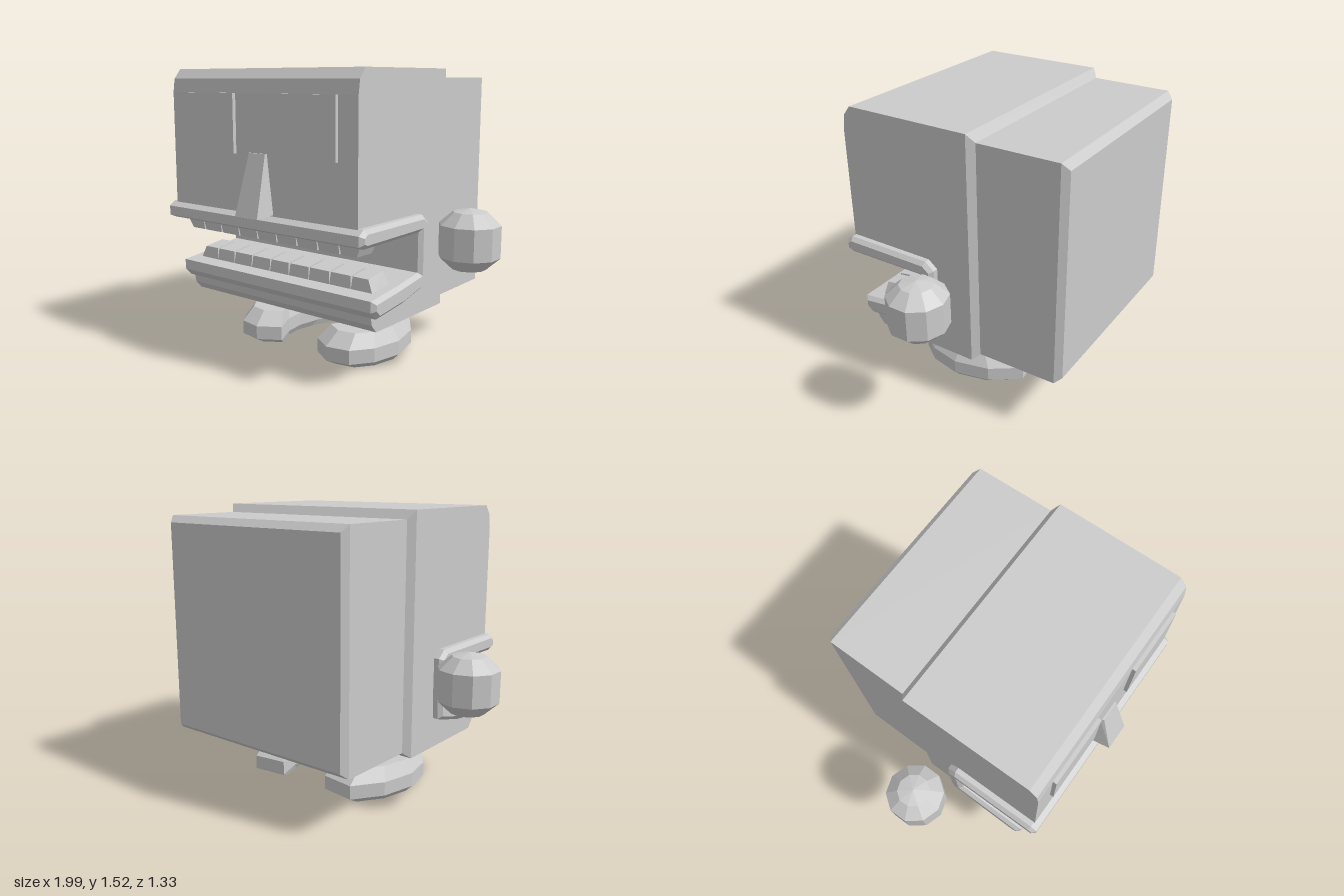
import * as THREE from 'three';

const material = new THREE.MeshStandardMaterial({ color: 0xcccccc, flatShading: true });

function add(parent, name, geometry) {
  const mesh = new THREE.Mesh(geometry, material);
  mesh.name = name;
  parent.add(mesh);
  return mesh;
}

// Closed skin over rings of [x, y, z] points, capped at both ends and turned outwards
function loft(rings) {
  const n = rings[0].length;
  const tris = [];
  const middle = ring => [0, 1, 2].map(k => ring.reduce((s, p) => s + p[k], 0) / n);
  const first = rings[0], last = rings[rings.length - 1];
  const c0 = middle(first), c1 = middle(last);
  for (let i = 0; i < n; i++) {
    const j = (i + 1) % n;
    for (let r = 0; r < rings.length - 1; r++) {
      const a = rings[r], b = rings[r + 1];
      tris.push([a[i], a[j], b[j]], [a[i], b[j], b[i]]);
    }
    tris.push([c0, first[j], first[i]], [c1, last[i], last[j]]);
  }
  let volume = 0;
  for (const [a, b, c] of tris) {
    const [u, v, w] = [a, b, c].map(p => new THREE.Vector3(...p).sub(new THREE.Vector3(...c0)));
    volume += u.dot(v.cross(w));
  }
  if (volume < 0) tris.forEach(t => t.reverse());
  const geometry = new THREE.BufferGeometry();
  geometry.setAttribute('position', new THREE.Float32BufferAttribute(tris.flat(2), 3));
  geometry.computeVertexNormals();
  return geometry;
}

// Rectangles lying in a vertical or a horizontal plane
const uprightRect = (z, hx, y0, y1) => [[-hx, y0, z], [hx, y0, z], [hx, y1, z], [-hx, y1, z]];
const flatRect = (x0, x1, z0, y0, z1, y1) => [[x0, y0, z0], [x1, y0, z0], [x1, y1, z1], [x0, y1, z1]];

// Side profile of [z, y] points extruded across the width
function acrossWidth(profile, halfWidth, bevel = 0) {
  const shape = new THREE.Shape(profile.map(p => new THREE.Vector2(...p)));
  const geometry = new THREE.ExtrudeGeometry(shape, {
    depth: 2 * (halfWidth - bevel), bevelEnabled: bevel > 0, bevelSegments: 1,
    bevelThickness: bevel, bevelSize: bevel, bevelOffset: -bevel,
  });
  return geometry.translate(0, 0, bevel - halfWidth).rotateY(-Math.PI / 2);
}

function teeth(name, base, tip) {
  const row = new THREE.Group();
  row.name = name;
  const count = 9, width = 1.2 / count;
  for (let i = 0; i < count; i++) {
    const x0 = -0.6 + i * width, x1 = x0 + width;
    const in0 = i === 0 ? 0.035 : 0.006, in1 = i === count - 1 ? 0.035 : 0.006;
    add(row, 'tooth', loft([flatRect(x0, x1, ...base), flatRect(x0 + in0, x1 - in1, ...tip)]));
  }
  return row;
}

export function createModel() {
  const model = new THREE.Group();
  model.name = 'blockHeadFigure';

  // Head with the mouth cut right through from side to side
  add(model, 'head', acrossWidth([
    [-0.165, 0.29], [0.42, 0.29], [0.455, 0.33], [0.47, 0.4], [0.45, 0.45], [0.08, 0.5],
    [0.08, 0.75], [0.57, 0.75], [0.57, 1.4], [0.56, 1.47], [0.52, 1.52], [-0.165, 1.52],
  ], 0.617));

  // Narrower block behind the head, with chamfered ends
  add(model, 'backBlock', loft([
    uprightRect(-0.165, 0.617, 0.29, 1.52), uprightRect(-0.198, 0.585, 0.32, 1.475),
    uprightRect(-0.625, 0.58, 0.32, 1.475), uprightRect(-0.66, 0.557, 0.35, 1.44),
  ]));

  // Lip wrapping the mouth
  add(model, 'lips', acrossWidth([
    [0.565, 0.81], [0.6, 0.785], [0.6, 0.735], [0.565, 0.72], [0.11, 0.725], [0.11, 0.52],
    [0.3, 0.49], [0.505, 0.465], [0.505, 0.41], [0.465, 0.37], [0.25, 0.395], [0.08, 0.435],
    [0.035, 0.45], [0.03, 0.55], [0.03, 0.77], [0.08, 0.81],
  ], 0.665, 0.02));

  model.add(teeth('upperTeeth', [0.52, 0.735, 0.38, 0.735], [0.505, 0.66, 0.39, 0.66]));
  model.add(teeth('lowerTeeth', [0.425, 0.46, 0.28, 0.475], [0.415, 0.537, 0.295, 0.555]));

  // Nose, a wedge growing forward towards the lip
  add(model, 'nose', loft([
    [[-0.085, 0.815, 0.56], [0.105, 0.815, 0.56], [0.085, 0.803, 0.665], [-0.065, 0.803, 0.665]],
    [[-0.055, 1.11, 0.56], [0.07, 1.11, 0.56], [0.062, 1.11, 0.58], [-0.047, 1.11, 0.58]],
  ]));

  // Foot outline of [x, z] points, curving outwards
  const sole = [
    [0.15, -0.28], [0.34, -0.305], [0.45, -0.15], [0.495, 0.04], [0.46, 0.21], [0.38, 0.32],
    [0.25, 0.345], [0.13, 0.27], [0.2, 0.13], [0.22, 0.01], [0.2, -0.13],
  ];
  const footLevels = [[0, 0.8], [0.035, 1], [0.11, 1], [0.18, 0.76]];
  const handProfile = [[0, -0.16], [0.085, -0.142], [0.153, -0.08], [0.153, 0.08], [0.085, 0.142], [0, 0.16]]
    .map(p => new THREE.Vector2(...p));

  for (const side of [1, -1]) {
    const label = side > 0 ? 'left' : 'right';

    const eye = add(model, label + 'Eye', new THREE.BoxGeometry(0.36, 0.3, 0.04));
    eye.position.set(side * 0.325, 1.25, 0.57);

    const hand = add(model, label + 'Hand', new THREE.LatheGeometry(handProfile, 10));
    hand.position.set(side * 0.85, 0.69, -0.033);

    add(model, label + 'Foot', loft(footLevels.map(([y, s]) =>
      sole.map(([x, z]) => [side * (0.32 + (x - 0.32) * s), y, 0.02 + (z - 0.02) * s]))));
  }
  return model;
}
